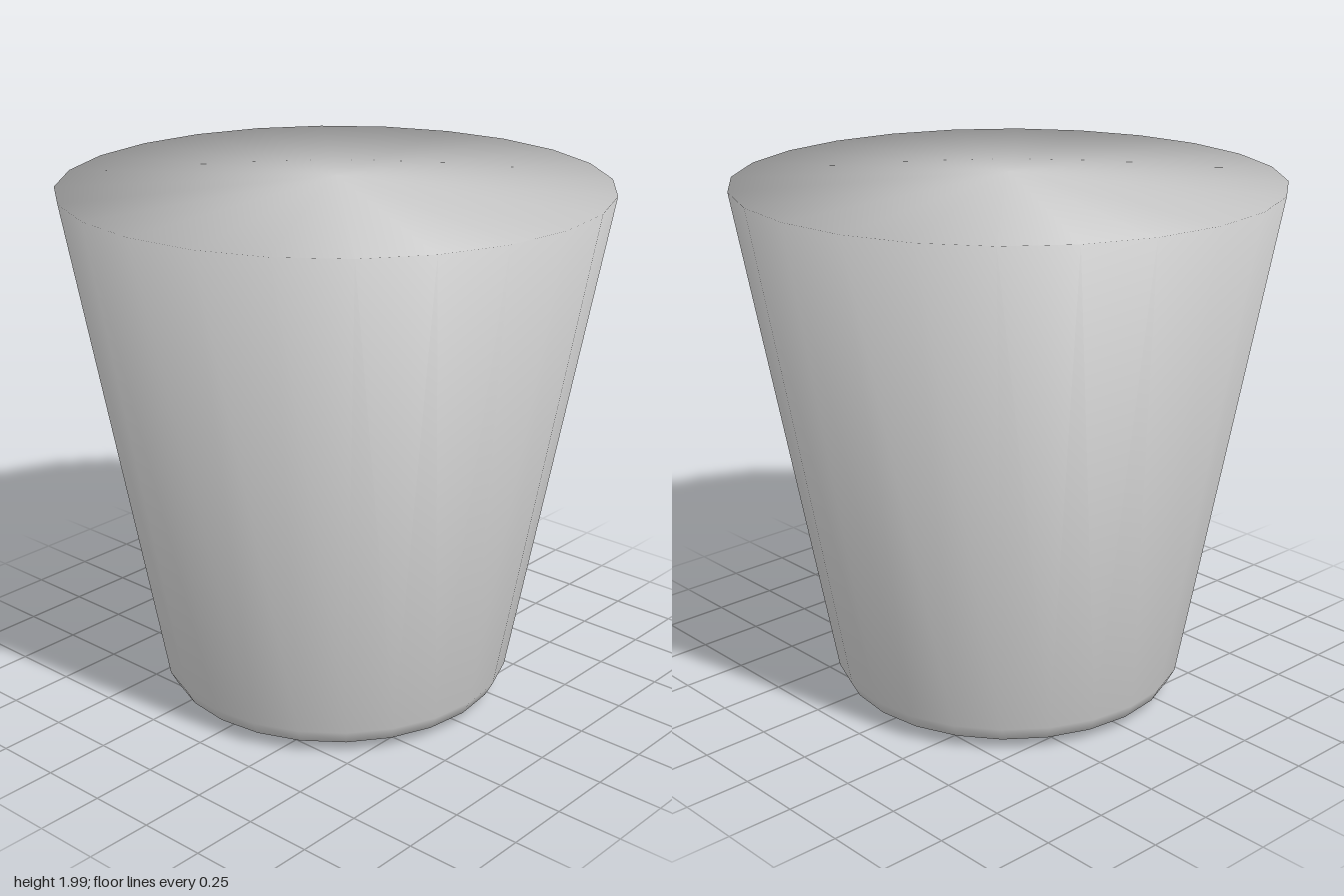
import * as THREE from 'three';

export function createModel() {
  const group = new THREE.Group();
  const material = new THREE.MeshStandardMaterial({ color: 0xcccccc });

  // Closed tapered cup: bevelled foot, straight wall, shallow conical top.
  // Smooth normals run over the rim.
  const profile = [
    [0, 0], [0.57, 0.01], [0.635, 0.045], [0.665, 0.1], [1, 1.96], [0, 1.988],
  ].map(([r, y]) => new THREE.Vector2(r, y));

  const cup = new THREE.Mesh(new THREE.LatheGeometry(profile, 24), material);
  cup.name = 'cupBody';
  group.add(cup);
  return group;
}
